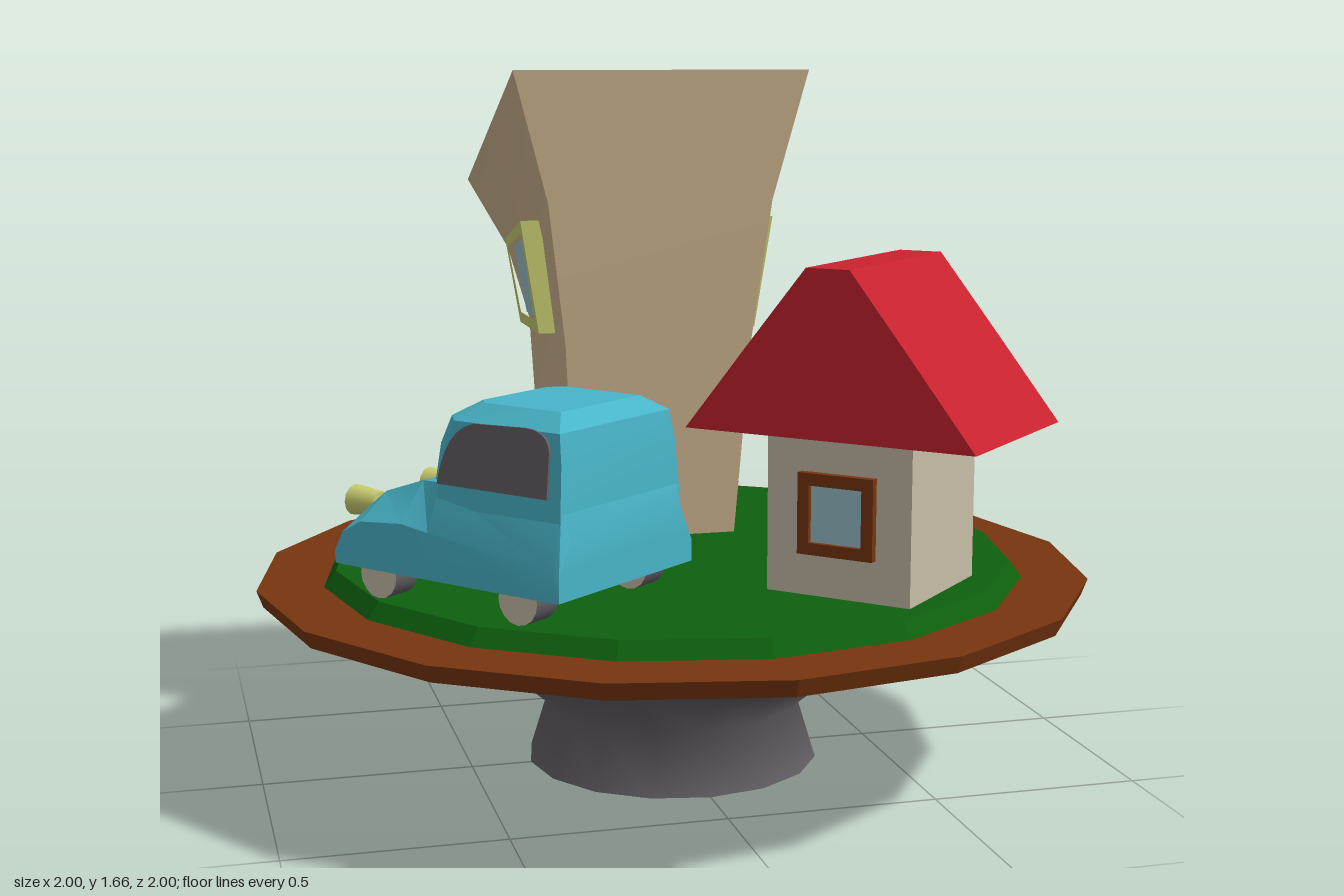
import * as THREE from 'three';
import { toCreasedNormals } from 'three/addons/utils/BufferGeometryUtils.js';

const mat = (name, color) => {
  const m = new THREE.MeshStandardMaterial({ color });
  m.name = name;
  return m;
};

// Closed solid through rings of [x, y, z] points that run anticlockwise about the lofting axis
function loft(rings, crease) {
  const pos = [];
  const tri = (a, b, c) => pos.push(...a, ...b, ...c);
  const n = rings[0].length;
  const centre = (r) => [0, 1, 2].map((k) => r.reduce((s, p) => s + p[k], 0) / n);
  const first = rings[0], last = rings[rings.length - 1];
  const c0 = centre(first), c1 = centre(last);
  for (let j = 0; j < n; j++) {
    const k = (j + 1) % n;
    for (let i = 0; i < rings.length - 1; i++) {
      const lo = rings[i], hi = rings[i + 1];
      tri(lo[j], lo[k], hi[k]);
      tri(lo[j], hi[k], hi[j]);
    }
    tri(c0, first[k], first[j]);
    tri(c1, last[j], last[k]);
  }
  const g = new THREE.BufferGeometry();
  g.setAttribute('position', new THREE.Float32BufferAttribute(pos, 3));
  return toCreasedNormals(g, crease);
}

const shapeOf = (pts) => new THREE.Shape(pts.map(([x, y]) => new THREE.Vector2(x, y)));
const extrude = (shape, depth) =>
  new THREE.ExtrudeGeometry(shape, { depth, bevelEnabled: false, curveSegments: 6 });
const rect = (w, y0, y1) => [[-w, y0], [w, y0], [w, y1], [-w, y1]];

// Frame with an opening, and the pane that fills it; both face +z
function windowParts(outer, inner, depth) {
  const shape = shapeOf(outer);
  shape.holes.push(shapeOf(inner));
  return [extrude(shape, depth), extrude(shapeOf(inner), 0.008)];
}

export function createModel() {
  const model = new THREE.Group();
  const red = mat('roof red', 0xc8222e), green = mat('grass green', 0x0e5f0e);
  const brown = mat('wood brown', 0x78350f), grey = mat('stone grey', 0x625f64);
  const tan = mat('tower tan', 0xc9b18c), cream = mat('wall cream', 0xc6bea8);
  const glass = mat('pane blue', 0x98c0ca), blue = mat('van blue', 0x48b4c8);
  const yellow = mat('frame yellow', 0xc8cc70);

  const add = (parent, name, geometry, material, x = 0, y = 0, z = 0) => {
    const mesh = new THREE.Mesh(geometry, material);
    mesh.name = name;
    mesh.position.set(x, y, z);
    parent.add(mesh);
    return mesh;
  };
  const group = (name, x, z, turn) => {
    const g = new THREE.Group();
    g.name = name;
    g.position.set(x, 0, z);
    g.rotation.y = turn;
    model.add(g);
    return g;
  };

  // Pedestal and round platform
  const profile = [[0.355, 0], [0.31, 0.145], [0.43, 0.245], [0.65, 0.385], [0.79, 0.432]];
  add(model, 'pedestal', new THREE.LatheGeometry(profile.map((p) => new THREE.Vector2(...p)), 16), grey);
  add(model, 'pedestalBottom', new THREE.CircleGeometry(0.355, 16).rotateX(Math.PI / 2), grey);
  const disc = (top, bottom, y0, y1) =>
    toCreasedNormals(new THREE.CylinderGeometry(top, bottom, y1 - y0, 16).translate(0, (y0 + y1) / 2, 0), 0.2);
  add(model, 'platform', disc(1, 0.985, 0.43, 0.47), brown);
  add(model, 'lawn', disc(0.815, 0.845, 0.468, 0.508), green);

  // Flared tower: half width, then height and z of its front and back edges
  const tower = group('tower', 0, 0, 0);
  const towerRings = [
    [0.205, 0.505, -0.16, 0.505, -0.568],
    [0.235, 1.0, -0.12, 1.02, -0.583],
    [0.28, 1.35, -0.095, 1.2, -0.64],
    [0.365, 1.665, -0.078, 1.372, -0.75],
  ].map(([w, yf, zf, yb, zb]) => [[-w, yf, zf], [w, yf, zf], [w, yb, zb], [-w, yb, zb]]);
  add(tower, 'towerWalls', loft(towerRings, 0.7), tan);

  // Crooked tower windows, one on each side, leaning outward with the wall
  const outer = [[0.235, 1.02], [0.48, 1.02], [0.495, 1.235], [0.23, 1.3]];
  const inner = [[0.265, 1.05], [0.445, 1.05], [0.47, 1.215], [0.25, 1.268]];
  for (const s of [1, -1]) {
    const flip = (pts) => pts.map(([u, y]) => [u * s, y]);
    const [frame, pane] = windowParts(flip(outer), flip(inner), 0.05);
    pane.translate(0, 0, 0.027);
    for (const [g, name, m] of [[frame, 'towerWindowFrame', yellow], [pane, 'towerWindowPane', glass]]) {
      g.rotateY(s * Math.PI / 2).translate(s * 0.228, 0, 0);
      const p = g.attributes.position;
      for (let i = 0; i < p.count; i++) p.setX(i, p.getX(i) + s * 0.16 * (p.getY(i) - 1.02));
      g.computeVertexNormals();
      add(tower, name, g, m);
    }
  }

  // House with a flat-ridged roof
  const house = group('house', 0.36, 0.425, -Math.PI / 4);
  add(house, 'houseWalls', new THREE.BoxGeometry(0.352, 0.375, 0.352), cream, 0, 0.695, 0);
  const gable = shapeOf([[-0.35, 0.875], [0.35, 0.875], [0.2, 1.065], [0.052, 1.25], [-0.052, 1.25], [-0.2, 1.065]]);
  add(house, 'houseRoof', extrude(gable, 0.49).translate(0, 0, -0.245), red);
  const houseWindows = [
    [0, rect(0.092, 0.605, 0.79), rect(0.064, 0.632, 0.762)],
    [Math.PI, rect(0.117, 0.585, 0.81), rect(0.092, 0.603, 0.79)],
  ];
  for (const [turn, o, i] of houseWindows) {
    const [frame, pane] = windowParts(o, i, 0.025);
    add(house, 'houseWindowFrame', frame.translate(0, 0, 0.17).rotateY(turn), brown);
    add(house, 'houseWindowPane', pane.translate(0, 0, 0.175).rotateY(turn), glass);
  }

  // Van, facing +z in its own group
  const van = group('van', -0.444, 0.29, Math.PI + 0.694);
  // Lower body: z, side half width and height, top half width and height
  const bodyRings = [
    [-0.32, 0.24, 0.625, 0.2, 0.7],
    [-0.3, 0.243, 0.64, 0.205, 0.77],
    [0.04, 0.243, 0.68, 0.2, 0.785],
    [0.12, 0.243, 0.69, 0.165, 0.775],
    [0.24, 0.243, 0.68, 0.155, 0.735],
    [0.295, 0.243, 0.65, 0.15, 0.695],
    [0.322, 0.24, 0.605, 0.17, 0.63],
  ].map(([z, w, ys, t, yt]) =>
    [[-w, 0.575], [w, 0.575], [w, ys], [t, yt], [-t, yt], [-w, ys]].map(([x, y]) => [x, y, z]));
  add(van, 'vanBody', loft(bodyRings, 0.45), blue);

  // Cabin: height, half width, front z, corner cut, back z
  const cabinRings = [
    [0.73, 0.215, 0.11, 0.07, -0.305],
    [0.86, 0.203, 0.085, 0.06, -0.3],
    [0.925, 0.195, 0.05, 0.05, -0.29],
    [0.96, 0.14, -0.01, 0.03, -0.25],
  ].map(([y, w, f, c, b]) => [
    [-w + c, y, f], [w - c, y, f], [w, y, f - c], [w, y, b], [-w, y, b], [-w, y, f - c],
  ]);
  add(van, 'vanCabin', loft(cabinRings, 0.45), blue);

  // Side windows with rounded upper corners
  for (const s of [1, -1]) {
    const pane = new THREE.Shape();
    pane.moveTo(-0.035 * s, 0);
    pane.lineTo(0.27 * s, 0);
    pane.lineTo(0.27 * s, 0.1);
    pane.quadraticCurveTo(0.265 * s, 0.145, 0.2 * s, 0.145);
    pane.lineTo(0.06 * s, 0.14);
    pane.quadraticCurveTo(-0.02 * s, 0.12, -0.035 * s, 0);
    const m = add(van, 'vanSideWindow',
      extrude(pane, 0.008).rotateX(-0.1).rotateY(s * Math.PI / 2), grey, s * 0.208, 0.785, 0);
    m.position.x = s * 0.2085;

    // Wheels with pale hubs, and round headlights
    for (const z of [0.2, -0.2]) {
      const wheel = new THREE.CylinderGeometry(0.053, 0.053, 0.07, 16).rotateZ(Math.PI / 2);
      add(van, 'wheel', wheel, [grey, cream, cream], s * 0.195, 0.561, z);
    }
    const lamp = new THREE.CylinderGeometry(0.036, 0.028, 0.08, 12).rotateX(Math.PI / 2);
    add(van, 'headlight', lamp, yellow, s * 0.126, 0.695, 0.325);
  }
  return model;
}
